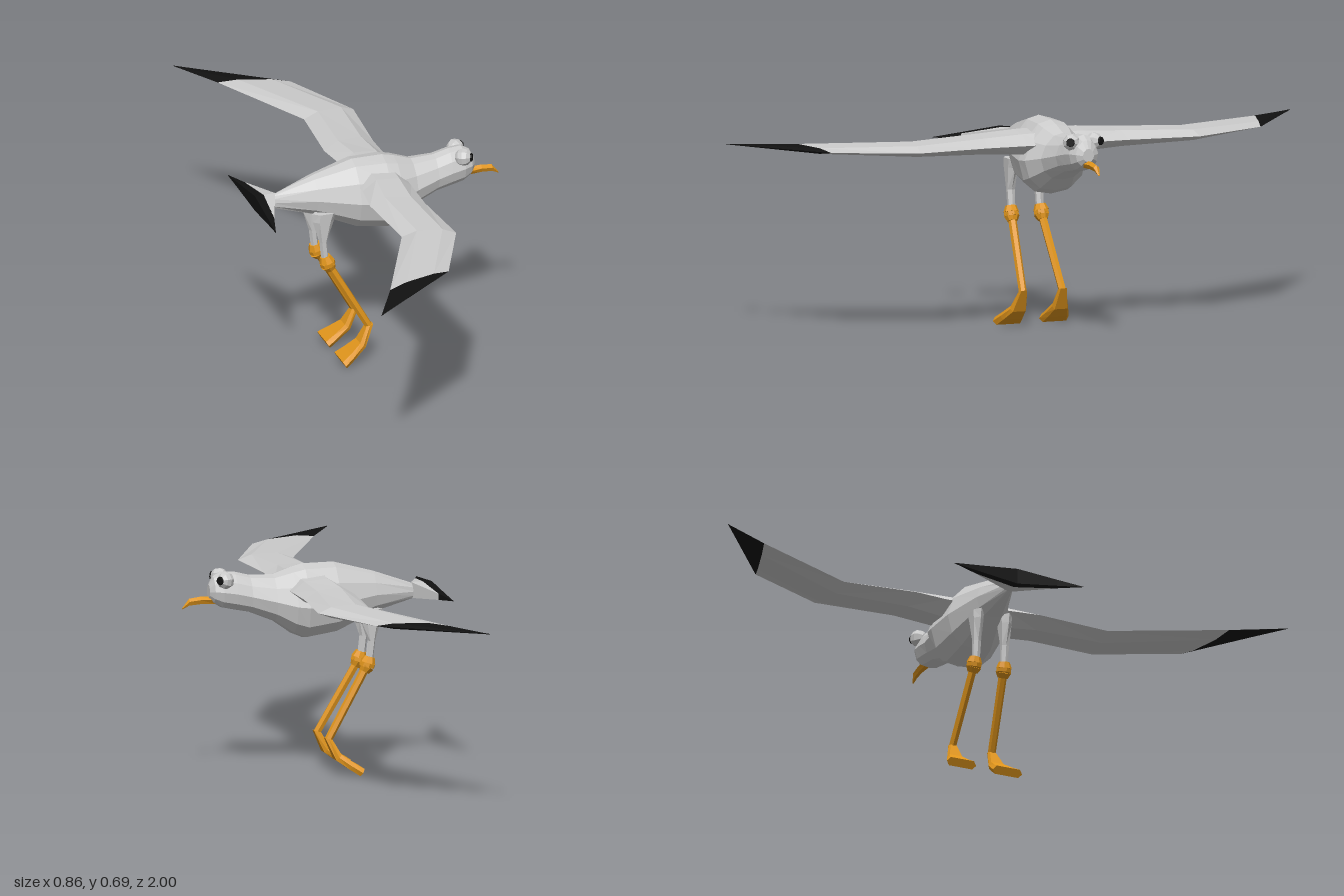
import * as THREE from 'three';

const material = (color) => new THREE.MeshStandardMaterial({ color, flatShading: true });
const GREY = material(0xcccccc);
const BLACK = material(0x111111);
const ORANGE = material(0xe0951c);

// Skin a list of equal-sized rings of [x, y, z], cap both ends, face outwards
function loft(rings) {
  const n = rings[0].length;
  const pos = rings.flat(2);
  const idx = [];
  for (let r = 0; r < rings.length - 1; r++) {
    for (let i = 0; i < n; i++) {
      const a = r * n + i, b = r * n + (i + 1) % n;
      idx.push(a, b, b + n, a, b + n, a + n);
    }
  }
  const last = (rings.length - 1) * n;
  for (let i = 1; i < n - 1; i++) {
    idx.push(0, i + 1, i, last, last + i, last + i + 1);
  }
  // a negative enclosed volume means the faces point inwards
  const v = (i) => new THREE.Vector3().fromArray(pos, i * 3);
  let volume = 0;
  for (let i = 0; i < idx.length; i += 3) {
    volume += v(idx[i]).dot(v(idx[i + 1]).cross(v(idx[i + 2])));
  }
  if (volume < 0) idx.reverse();
  const g = new THREE.BufferGeometry();
  g.setAttribute('position', new THREE.Float32BufferAttribute(pos, 3));
  g.setIndex(idx);
  const flat = g.toNonIndexed();
  flat.computeVertexNormals();
  return flat;
}

// Tapered rod between two points
function rod(a, b, ra, rb, sides) {
  const from = new THREE.Vector3(...a), to = new THREE.Vector3(...b);
  const dir = to.clone().sub(from);
  const g = new THREE.CylinderGeometry(rb, ra, dir.length(), sides);
  g.applyQuaternion(new THREE.Quaternion().setFromUnitVectors(new THREE.Vector3(0, 1, 0), dir.normalize()));
  return g.translate(...from.add(to).multiplyScalar(0.5).toArray());
}

export function createModel() {
  const model = new THREE.Group();
  const add = (name, geometry, mat, parent = model) => {
    const mesh = new THREE.Mesh(geometry, mat);
    mesh.name = name;
    parent.add(mesh);
    return mesh;
  };

  // Body, neck and head: [x, bottom, top, half width]
  const half = [[0, 1], [0.4, 0.95], [0.78, 0.75], [1, 0.47], [0.85, 0.2], [0.5, 0.04], [0, 0]];
  const outline = [...half, ...half.slice(1, -1).reverse().map(([w, h]) => [-w, h])];
  const stations = [
    [-0.36, 0.565, 0.612, 0.012], [-0.22, 0.527, 0.662, 0.058], [-0.085, 0.468, 0.699, 0.102],
    [0.02, 0.453, 0.698, 0.115], [0.06, 0.47, 0.688, 0.11], [0.12, 0.513, 0.667, 0.078],
    [0.2, 0.546, 0.669, 0.06], [0.25, 0.556, 0.682, 0.056], [0.295, 0.566, 0.685, 0.052],
    [0.322, 0.582, 0.67, 0.04], [0.336, 0.6, 0.643, 0.02],
  ];
  add('body', loft(stations.map(([x, lo, hi, w]) =>
    outline.map(([s, h]) => [x, lo + (hi - lo) * h, s * w]))), GREY);

  // Hooked beak: [x, y, half height, half width]
  add('beak', loft([
    [0.31, 0.59, 0.012, 0.017], [0.365, 0.592, 0.012, 0.012],
    [0.402, 0.588, 0.011, 0.01], [0.425, 0.567, 0.002, 0.003],
  ].map(([x, y, h, w]) => [[x, y + h, 0], [x, y + h * 0.2, w], [x, y - h, w * 0.5],
    [x, y - h, -w * 0.5], [x, y + h * 0.2, -w]])), ORANGE);

  // Wing section from leading edge L to trailing edge T, both [x, z]
  const wingRing = ([lx, lz, tx, tz, t]) => [
    [0, 0], [0.25, 0.42], [0.72, 0.5], [1, 0.08], [0.72, -0.42], [0.25, -0.42],
  ].map(([c, h]) => [lx + (tx - lx) * c, 0.624 + h * t, lz + (tz - lz) * c]);
  const wingStations = [
    [0.085, 0.03, -0.085, 0.03, 0.085], [0.083, 0.11, -0.086, 0.11, 0.08],
    [0.08, 0.25, -0.1, 0.22, 0.062], [0.1, 0.495, -0.08, 0.47, 0.042],
    [-0.022, 0.76, -0.25, 0.83, 0.022], [-0.34, 0.998, -0.342, 1, 0.002],
  ].map(wingRing);

  // Tail fan slices: [z, front x, back x]; thickness fades towards the tip
  const tailRing = ([z, f, b]) => {
    const h = 0.026 * (1 - z / 0.23) + 0.0005;
    return [[f, 0.591 + h, z], [b, 0.591 + h, z], [b, 0.591 - h, z], [f, 0.591 - h, z]];
  };
  const tailBase = [[0, -0.35, -0.39], [0.14, -0.403, -0.405]].map(tailRing);
  const tailTip = [[0, -0.39, -0.42], [0.14, -0.404, -0.426], [0.23, -0.43, -0.431]].map(tailRing);

  for (const [side, s] of [['left', -1], ['right', 1]]) {
    const mirror = (rings) => rings.map((ring) => ring.map(([x, y, z]) => [x, y, z * s]));
    const pt = (x, y, z) => [x, y, z * s];

    const wing = new THREE.Group();
    wing.name = side + 'Wing';
    model.add(wing);
    add('wingBase', loft(mirror(wingStations.slice(0, 5))), GREY, wing);
    add('wingTip', loft(mirror(wingStations.slice(4))), BLACK, wing);

    const tail = new THREE.Group();
    tail.name = side + 'Tail';
    model.add(tail);
    add('tailBase', loft(mirror(tailBase)), GREY, tail);
    add('tailTip', loft(mirror(tailTip)), BLACK, tail);

    // Eye with a dark pupil looking forwards and outwards
    const eye = new THREE.Group();
    eye.name = side + 'Eye';
    eye.position.set(0.289, 0.661, 0.04 * s);
    eye.quaternion.setFromUnitVectors(new THREE.Vector3(0, 1, 0),
      new THREE.Vector3(0.82, 0.08, 0.5 * s).normalize());
    model.add(eye);
    add('eyeball', new THREE.SphereGeometry(0.029, 8, 6), GREY, eye);
    add('pupil', new THREE.CylinderGeometry(0.013, 0.017, 0.012, 8), BLACK, eye).position.y = 0.024;

    // Leg: feathered thigh, knee, shin and webbed foot
    const leg = new THREE.Group();
    leg.name = side + 'Leg';
    model.add(leg);
    const thigh = [[-0.195, 0.545, 0.045, 0.022], [-0.2, 0.515, 0.037, 0.02],
      [-0.202, 0.44, 0.013, 0.015], [-0.194, 0.37, 0.013, 0.013]].map(([x, y, rx, rz]) =>
      Array.from({ length: 6 }, (_, i) => {
        const a = i * Math.PI / 3;
        return [x + rx * Math.cos(a), y, 0.05 + rz * Math.sin(a)];
      }));
    add('thigh', loft(mirror(thigh)), GREY, leg);
    add('kneeUpper', rod(pt(-0.195, 0.387, 0.052), pt(-0.189, 0.367, 0.053), 0.018, 0.026, 8), ORANGE, leg);
    add('kneeMiddle', rod(pt(-0.189, 0.367, 0.053), pt(-0.185, 0.354, 0.053), 0.026, 0.026, 8), ORANGE, leg);
    add('kneeLower', rod(pt(-0.185, 0.354, 0.053), pt(-0.176, 0.338, 0.054), 0.026, 0.017, 8), ORANGE, leg);
    add('shin', rod(pt(-0.184, 0.355, 0.053), pt(-0.05, 0.12, 0.07), 0.014, 0.013, 6), ORANGE, leg);

    // Foot slices: [x, y, z centre, half width, offset across the sole]
    const foot = [
      [-0.05, 0.125, 0.07, 0.013, 0.012, 0.003], [-0.08, 0.064, 0.074, 0.028, 0.009, -0.009],
      [-0.12, 0.036, 0.079, 0.042, 0.007, -0.011], [-0.152, 0.016, 0.082, 0.052, 0.007, -0.012],
    ].map(([x, y, z, w, dx, dy]) => [
      [x - dx, y - dy, z - w * 0.8], [x - dx, y - dy, z + w * 0.8], [x, y, z + w],
      [x + dx, y + dy, z + w * 0.8], [x + dx, y + dy, z - w * 0.8], [x, y, z - w]]);
    add('foot', loft(mirror(foot)), ORANGE, leg);
  }

  // Stand on the ground
  model.position.y = -new THREE.Box3().setFromObject(model).min.y;
  return model;
}
